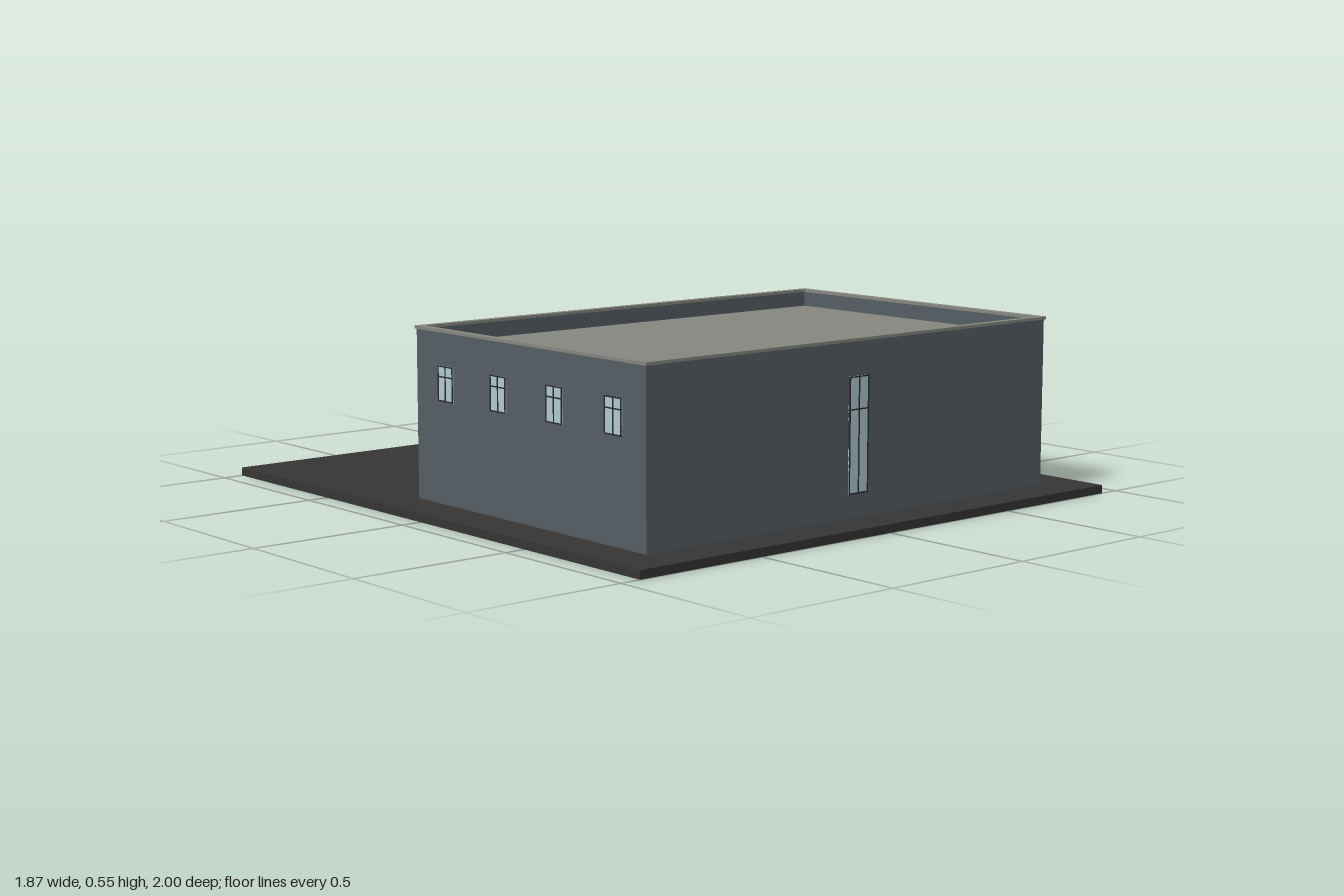
import * as THREE from 'three';

const mat = (name, color) => Object.assign(new THREE.MeshStandardMaterial({ color }), { name });

export function createModel() {
  const wall = mat('slate wall', 0x555e65);
  const concrete = mat('concrete grey', 0x878780);
  const asphalt = mat('asphalt', 0x353535);
  const glass = mat('pale glass', 0xb0c8d2);
  const trim = mat('dark trim', 0x2a2c2e);

  const model = new THREE.Group();
  model.name = 'garageBuilding';

  // Box given by its minimum and maximum corners
  const box = (name, material, x0, x1, y0, y1, z0, z1, parent = model) => {
    const mesh = new THREE.Mesh(new THREE.BoxGeometry(x1 - x0, y1 - y0, z1 - z0), material);
    mesh.position.set((x0 + x1) / 2, (y0 + y1) / 2, (z0 + z1) / 2);
    mesh.name = name;
    parent.add(mesh);
    return mesh;
  };

  const X = 0.8, ZB = -0.2, ZF = 0.865, G = 0.026, TOP = 0.542, T = 0.018, ROOF = 0.495;
  const bays = [0.567, 0.13, -0.302], bayHalf = 0.136, bayTop = 0.31;

  // Paved ground slab
  box('groundSlab', asphalt, -0.935, 0.935, 0, G, -1, 1);

  // Outer walls
  box('frontWall', wall, -X, X, G, TOP, ZF - T, ZF);
  for (const s of [-1, 1]) {
    const a = s * X, b = s * (X - T);
    box('sideWall', wall, Math.min(a, b), Math.max(a, b), G, TOP, ZB + T, ZF - T);
  }

  // Back wall with three vehicle openings cut up from the ground
  const outline = new THREE.Shape();
  outline.moveTo(-X, G);
  for (const c of [...bays].reverse()) {
    outline.lineTo(c - bayHalf, G);
    outline.lineTo(c - bayHalf, bayTop);
    outline.lineTo(c + bayHalf, bayTop);
    outline.lineTo(c + bayHalf, G);
  }
  outline.lineTo(X, G);
  outline.lineTo(X, TOP);
  outline.lineTo(-X, TOP);
  const backWall = new THREE.Mesh(
    new THREE.ExtrudeGeometry(outline, { depth: T, bevelEnabled: false }), wall);
  backWall.position.z = ZB;
  backWall.name = 'backWall';
  model.add(backWall);

  // Roof deck, interior floor and wall linings
  const ix = X - T, iz0 = ZB + T, iz1 = ZF - T;
  box('roofDeck', concrete, -ix, ix, ROOF - 0.02, ROOF, iz0, iz1);
  box('interiorFloor', concrete, -ix, ix, G, G + 0.003, ZB + 0.002, iz1);
  box('frontLining', concrete, -ix, ix, G, ROOF - 0.02, iz1 - 0.004, iz1);
  box('leftLining', concrete, ix - 0.004, ix, G, ROOF - 0.02, iz0, iz1);
  box('rightLining', concrete, -ix, -ix + 0.004, G, ROOF - 0.02, iz0, iz1);

  // Parapet coping around the roof edge
  const cx = X + 0.005, cz0 = ZB - 0.005, cz1 = ZF + 0.005, cw = 0.024;
  box('frontCoping', concrete, -cx, cx, TOP, 0.551, cz1 - cw, cz1);
  box('backCoping', concrete, -cx, cx, TOP, 0.551, cz0, cz0 + cw);
  box('leftCoping', concrete, cx - cw, cx, TOP, 0.551, cz0 + cw, cz1 - cw);
  box('rightCoping', concrete, -cx, -cx + cw, TOP, 0.551, cz0 + cw, cz1 - cw);

  // Window facing +z: glass plate, thin frame, mullion and transom
  const makeWindow = (name, w, h, transomY) => {
    const g = new THREE.Group(), f = 0.004, d = 0.005;
    g.name = name;
    box('glassPane', glass, -w / 2, w / 2, 0, h, 0, 0.003, g);
    for (const x of [-w / 2, -f / 2, w / 2 - f])
      box('frameUpright', trim, x, x + f, 0, h, 0, d, g);
    for (const y of [0, transomY, h - f])
      box('frameRail', trim, -w / 2, w / 2, y, y + f, 0, d - 0.0005, g);
    model.add(g);
    return g;
  };

  makeWindow('frontTallWindow', 0.078, 0.345, 0.246).position.set(0, 0.096, ZF);
  for (const s of [-1, 1]) {
    for (const z of [0.728, 0.467, 0.206, -0.052]) {
      const win = makeWindow('sideWindow', 0.074, 0.107, 0.072);
      win.position.set(s * X, 0.336, z);
      win.rotation.y = s * Math.PI / 2;
    }
  }

  // Canopies over the vehicle openings
  for (const c of bays)
    box('bayCanopy', trim, c - 0.142, c + 0.142, bayTop, 0.332, ZB - 0.022, ZB);

  // Blank sign board
  box('signBoard', trim, -0.19, 0.22, 0.22, 0.248, ZB - 0.008, ZB - 0.001);

  // Staff door with dark edge and threshold
  box('staffDoor', wall, -0.645, -0.57, G, 0.19, ZB - 0.004, ZB);
  box('doorEdge', trim, -0.572, -0.568, G + 0.01, 0.19, ZB - 0.006, ZB);
  box('doorThreshold', trim, -0.645, -0.568, G, G + 0.006, ZB - 0.006, ZB);

  return model;
}
